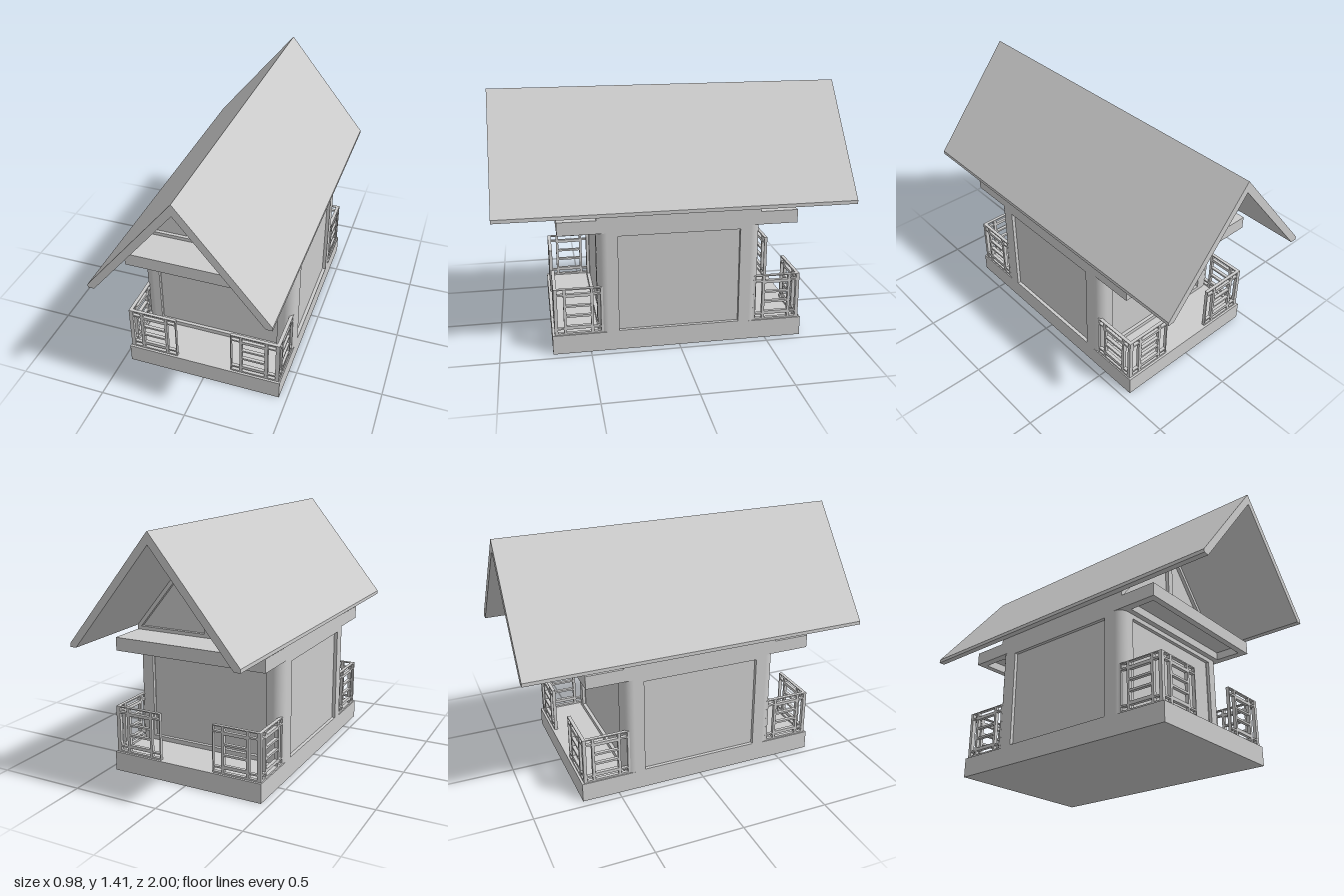
import * as THREE from 'three';

const material = new THREE.MeshStandardMaterial({ color: 0xcccccc });

function add(parent, name, geometry) {
  const mesh = new THREE.Mesh(geometry, material);
  mesh.name = name;
  parent.add(mesh);
  return mesh;
}

// Box given by its lower and upper limits
function block(parent, name, x0, x1, y0, y1, z0, z1) {
  const mesh = add(parent, name, new THREE.BoxGeometry(x1 - x0, y1 - y0, z1 - z0));
  mesh.position.set((x0 + x1) / 2, (y0 + y1) / 2, (z0 + z1) / 2);
  return mesh;
}

const points = (list) => list.map(([x, y]) => new THREE.Vector2(x, y));
const rect = (x0, x1, y0, y1) => [[x0, y0], [x1, y0], [x1, y1], [x0, y1]];

// Flat plate with holes, running from z0 to z1
function plate(outline, holes, z0, z1) {
  const shape = new THREE.Shape(points(outline));
  for (const hole of holes) shape.holes.push(new THREE.Path(points(hole)));
  const geometry = new THREE.ExtrudeGeometry(shape, { depth: z1 - z0, bevelEnabled: false });
  return geometry.translate(0, 0, z0);
}

// Railing lattice: u runs along the rail, openings listed as [u0, u1, y0, y1]
function railPanel(u, z0, z1) {
  const rows = [[0.12, 0.141], [0.15, 0.34], [0.35, 0.374]];
  const slots = [[0.16, 0.212], [0.224, 0.272], [0.283, 0.332]];
  const holes = [];
  u.forEach(([u0, u1], column) => {
    rows.forEach(([y0, y1], row) => {
      if (column === 1 && row === 1) {
        for (const [s0, s1] of slots) holes.push(rect(u0, u1, s0, s1));
      } else holes.push(rect(u0, u1, y0, y1));
    });
  });
  return holes.length ? plate(rect(u.start, u.end, 0.11, 0.38), holes, z0, z1) : null;
}

function cornerRailing() {
  const group = new THREE.Group();
  group.name = 'cornerRailing';
  const front = [[0.168, 0.216], [0.231, 0.362], [0.38, 0.425]];
  front.start = 0.162;
  front.end = 0.448;
  add(group, 'frontRail', railPanel(front, 0.678, 0.697));
  const side = [[0.44, 0.48], [0.495, 0.63], [0.645, 0.687]];
  side.start = 0.427;
  side.end = 0.697;
  // turned so that the rail runs along z on the +x side
  const geometry = railPanel(side, 0.428, 0.448);
  geometry.rotateY(-Math.PI / 2).scale(1, 1, 1).translate(0.876, 0, 0);
  add(group, 'sideRail', geometry);
  return group;
}

// One end of the house: wall frame, gable, canopy and railings
function houseEnd() {
  const end = new THREE.Group();
  end.name = 'houseEnd';

  add(end, 'endWallFrame', plate(rect(-0.4, 0.4, 0.11, 0.69), [rect(-0.36, 0.36, 0.135, 0.665)], 0.43, 0.455));

  // Gable frame with a middle post between two triangular panels
  const gable = [[-0.455, 0.765], [0.455, 0.765], [0.455, 0.79], [0, 1.345], [-0.455, 0.79]];
  const opening = (s) => [[s * 0.02, 0.785], [s * 0.43, 0.785], [s * 0.02, 1.285]];
  add(end, 'gableFrame', plate(gable, [opening(1), opening(-1)], 0.435, 0.455));

  // Canopy with a recessed underside
  const canopy = new THREE.Group();
  canopy.name = 'canopy';
  end.add(canopy);
  block(canopy, 'canopyTop', -0.455, 0.455, 0.735, 0.765, 0.455, 0.665);
  const rim = plate(rect(-0.455, 0.455, 0.455, 0.665), [rect(-0.41, 0.41, 0.485, 0.63)], 0, 0.045);
  rim.rotateX(Math.PI / 2).translate(0, 0.735, 0);
  add(canopy, 'canopyRim', rim);

  // Railings on both corners of the porch
  const leftRailing = cornerRailing();
  const rightRailing = cornerRailing();
  rightRailing.scale.x = -1;
  end.add(leftRailing, rightRailing);
  return end;
}

export function createModel() {
  const house = new THREE.Group();
  house.name = 'house';

  // Base and wall core
  block(house, 'base', -0.455, 0.455, 0, 0.11, -0.71, 0.71);
  block(house, 'wallCore', -0.435, 0.435, 0.11, 0.69, -0.435, 0.435);
  block(house, 'topBeam', -0.455, 0.455, 0.69, 0.765, -0.455, 0.455);

  // Rounded corner columns
  for (const x of [-0.4, 0.4]) {
    for (const z of [-0.4, 0.4]) {
      const column = add(house, 'cornerColumn', new THREE.CylinderGeometry(0.055, 0.055, 0.58, 32));
      column.position.set(x, 0.4, z);
    }
  }

  // Side wall frames around recessed panels
  for (const s of [-1, 1]) {
    const frame = add(house, 'sideWallFrame',
      plate(rect(-0.4, 0.4, 0.11, 0.69), [rect(-0.34, 0.34, 0.115, 0.67)], 0.43, 0.455));
    frame.rotation.y = s * Math.PI / 2;
  }

  // Attic behind the gable frames
  const attic = [[-0.455, 0.765], [0.455, 0.765], [0.455, 0.79], [0, 1.345], [-0.455, 0.79]];
  add(house, 'attic', plate(attic, [], -0.435, 0.435));

  // Roof
  const roof = [[0, 1.41], [-0.49, 0.81], [-0.49, 0.79], [-0.455, 0.79], [0, 1.345],
    [0.455, 0.79], [0.49, 0.79], [0.49, 0.81]];
  add(house, 'roof', plate(roof, [], -1, 1));

  // Matching front and back ends
  const front = houseEnd();
  const back = houseEnd();
  back.rotation.y = Math.PI;
  house.add(front, back);
  return house;
}
